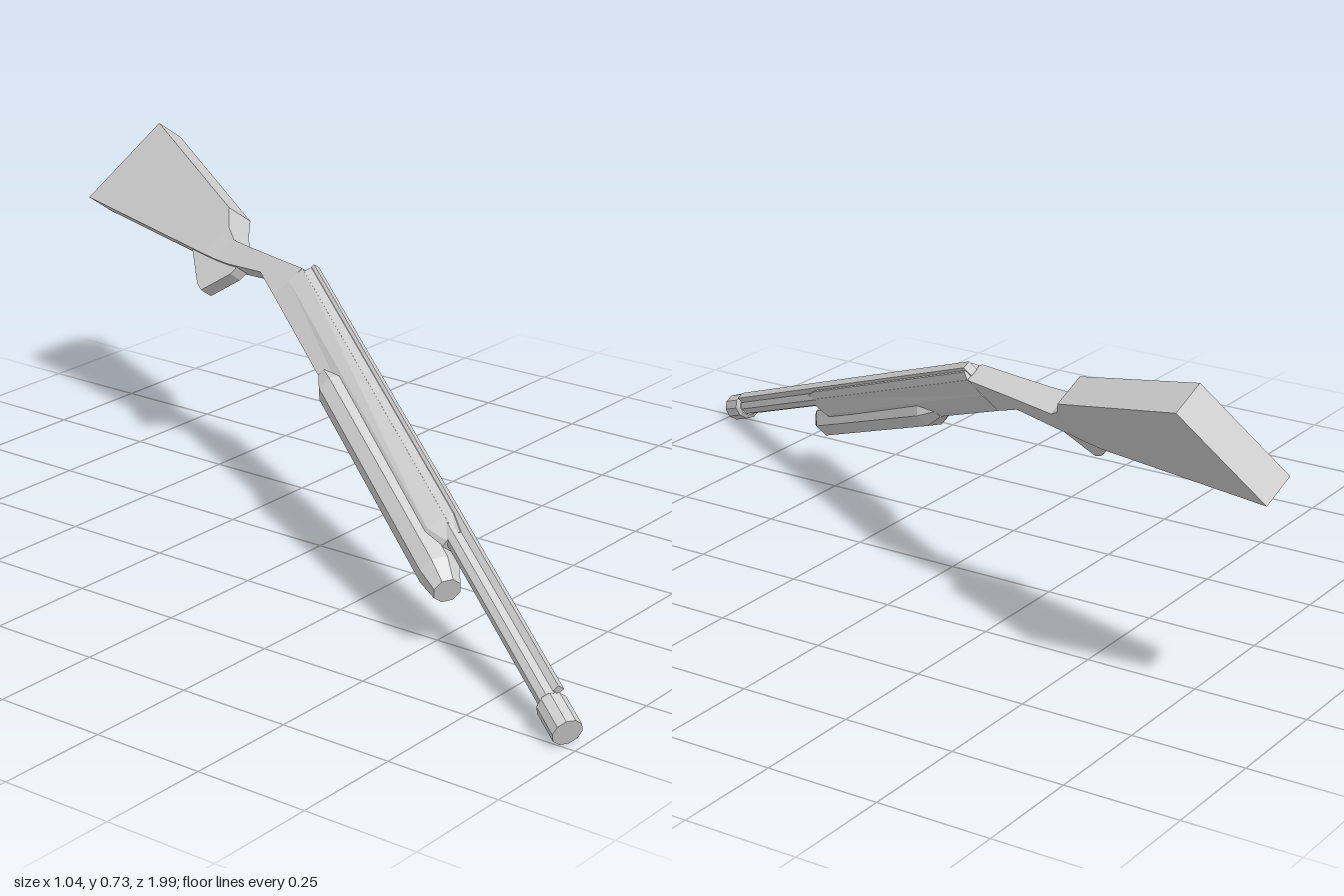
import * as THREE from 'three';

// Local frame: x runs back from the muzzle along the barrel, y is the gun's up, z its side.
const lightGrey = new THREE.MeshStandardMaterial({ color: 0xd2d2d2, flatShading: true });
lightGrey.name = 'lightGrey';

// Skin rings of [y, z] points (counter-clockwise seen from +x) set at increasing x.
function loft(stations) {
  const pos = [];
  const n = stations[0].ring.length;
  const at = (i, j) => [stations[i].x, ...stations[i].ring[j % n]];
  const tri = (a, b, c) => pos.push(...a, ...b, ...c);
  for (let i = 0; i < stations.length - 1; i++) {
    for (let j = 0; j < n; j++) {
      tri(at(i, j), at(i, j + 1), at(i + 1, j + 1));
      tri(at(i, j), at(i + 1, j + 1), at(i + 1, j));
    }
  }
  const last = stations.length - 1;
  for (let j = 1; j < n - 1; j++) {
    tri(at(0, 0), at(0, j + 1), at(0, j));
    tri(at(last, 0), at(last, j), at(last, j + 1));
  }
  const geo = new THREE.BufferGeometry();
  geo.setAttribute('position', new THREE.Float32BufferAttribute(pos, 3));
  geo.computeVertexNormals();
  return geo;
}

// Four-sided station: top and bottom heights, half widths at top and bottom.
const slab = (x, top, bottom, w, wBottom = w) => ({
  x, ring: [[top, -w], [top, w], [bottom, wBottom], [bottom, -wBottom]],
});

// Six-sided station, widest between top and bottom.
const hexagon = (x, [top, wTop], [mid, wMid], [bottom, wBottom]) => ({
  x, ring: [[top, -wTop], [top, wTop], [mid, wMid], [bottom, wBottom], [bottom, -wBottom], [mid, -wMid]],
});

// Polygon station with flats facing up and sideways.
function polygon(x, centreY, sides, radiusY, radiusZ = radiusY) {
  const ring = [];
  for (let i = 0; i < sides; i++) {
    const t = ((i + 0.5) / sides) * Math.PI * 2;
    ring.push([centreY + radiusY * Math.cos(t), radiusZ * Math.sin(t)]);
  }
  return { x, ring };
}

export function createModel() {
  const model = new THREE.Group();
  model.name = 'longGun';
  const gun = new THREE.Group();
  gun.name = 'gunBody';
  model.add(gun);
  const add = (name, stations) => {
    const mesh = new THREE.Mesh(loft(stations), lightGrey);
    mesh.name = name;
    gun.add(mesh);
  };

  // Barrel with its muzzle collar and top rib
  add('muzzle', [polygon(0, 0, 10, 0.032), polygon(0.075, 0, 10, 0.032), polygon(0.085, 0, 10, 0.024)]);
  add('barrel', [polygon(0.07, 0, 8, 0.022), polygon(0.65, 0, 8, 0.022)]);
  add('rib', [slab(0.09, 0.035, 0.01, 0.009), slab(1.445, 0.035, 0.01, 0.009)]);

  // Receiver with bevelled sides and top cover
  add('receiver', [
    hexagon(0.55, [0.008, 0.016], [-0.012, 0.02], [-0.03, 0.016]),
    hexagon(0.6, [0.011, 0.021], [-0.03, 0.033], [-0.08, 0.023]),
    hexagon(1.449, [0.011, 0.021], [-0.03, 0.025], [-0.08, 0.023]),
  ]);
  add('receiverCover', [
    slab(0.55, 0.02, 0.005, 0.013, 0.016),
    slab(0.6, 0.027, 0.01, 0.013, 0.021),
    slab(1.44, 0.027, 0.01, 0.013, 0.021),
  ]);

  // Pump grip under the barrel
  add('pumpGrip', [
    polygon(0.47, -0.072, 8, 0.03, 0.032),
    polygon(0.52, -0.067, 8, 0.043, 0.049),
    polygon(1.11, -0.068, 8, 0.042, 0.048),
    polygon(1.16, -0.07, 8, 0.022, 0.028),
  ]);

  // Wrist and shoulder stock
  add('stock', [
    slab(1.449, 0.011, -0.08, 0.023),
    slab(1.54, -0.032, -0.08, 0.025),
    slab(1.64, -0.079, -0.14, 0.028),
    slab(1.68, -0.096, -0.16, 0.03),
    slab(1.72, -0.09, -0.178, 0.034),
    slab(1.765, -0.065, -0.197, 0.037),
    slab(2.18, -0.116, -0.371, 0.038),
  ]);

  // Trigger guard wedge
  add('triggerGuard', [
    slab(1.62, -0.115, -0.15, 0.017),
    slab(1.655, -0.13, -0.233, 0.017),
    slab(1.68, -0.14, -0.234, 0.017),
    slab(1.78, -0.18, -0.204, 0.017),
  ]);

  // Tilt the gun into its resting pose
  const back = new THREE.Vector3(0.473, 0.351, -0.808).normalize();
  const side = back.clone().cross(new THREE.Vector3(0.4, 0.732, 0.553)).normalize();
  const up = side.clone().cross(back);
  gun.applyMatrix4(new THREE.Matrix4().makeBasis(back, up, side).setPosition(-0.496, 0.031, 0.981));

  // Centre on the ground
  model.updateMatrixWorld(true);
  const box = new THREE.Box3().setFromObject(model, true);
  const centre = box.getCenter(new THREE.Vector3());
  gun.position.sub(new THREE.Vector3(centre.x, box.min.y, centre.z));
  return model;
}
